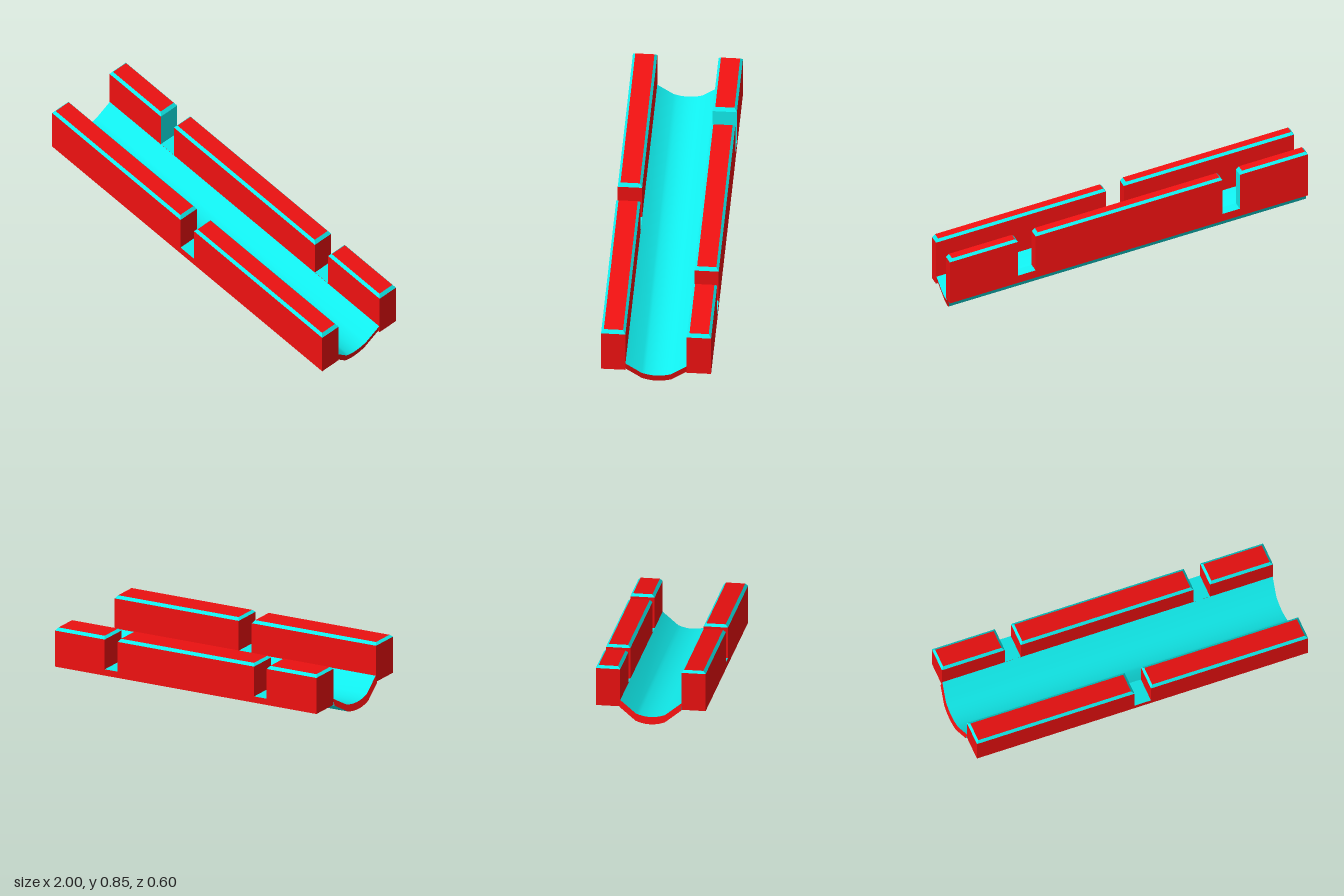
import * as THREE from 'three';
import { toCreasedNormals } from 'three/addons/utils/BufferGeometryUtils.js';

const SLOPE = Math.PI / 12;
const TAN = Math.tan(SLOPE);
const BASE = 0.353, FLOOR = 0.393, SHOULDER = 0.582, TOP = 0.598; // heights at x = 0
const INNER = 0.167, OUTER = 0.3;

const red = new THREE.MeshStandardMaterial({ color: 0xee1111 });
const cyan = new THREE.MeshStandardMaterial({ color: 0x11eeee });

// Box with vertical ends whose top and bottom follow the slope; the top may taper in
function slopedBox(name, x0, x1, y0, y1, side, materials, inset = 0) {
  const w = x1 - x0, d = OUTER - INNER;
  const geo = new THREE.BoxGeometry(w, y1 - y0, d);
  const p = geo.attributes.position;
  for (let i = 0; i < p.count; i++) {
    const t = p.getY(i) > 0 ? inset : 0;
    const x = (x0 + x1) / 2 + p.getX(i) * (1 - 2 * t / w);
    const z = side * (INNER + OUTER) / 2 + p.getZ(i) * (1 - 2 * t / d);
    p.setXYZ(i, x, (y0 + y1) / 2 + p.getY(i) - TAN * x, z);
  }
  geo.computeVertexNormals();
  const mesh = new THREE.Mesh(geo, materials);
  mesh.name = name;
  return mesh;
}

// Side wall: a continuous base strip carrying blocks separated by notches
function wall(name, side, blocks) {
  const group = new THREE.Group();
  group.name = name;
  group.add(slopedBox('wallBase', -0.97, 1, BASE, FLOOR, side, [red, red, cyan, cyan, red, red]));
  for (const [x0, x1, endMaterial = red] of blocks) {
    group.add(slopedBox('wallBlock', x0, x1, FLOOR, SHOULDER, side, [endMaterial, red, red, red, red, red]));
    group.add(slopedBox('bevelledCap', x0, x1, SHOULDER, TOP, side, [cyan, cyan, red, red, cyan, cyan], 0.014));
  }
  return group;
}

// Rounded trough swept along the slope, with square-cut ends
function channel() {
  const half = [[0, 0], [0.02, 0.001], [0.04, 0.004], [0.06, 0.009], [0.08, 0.016], [INNER, 0.086]];
  const lower = [...half.slice(1).reverse().map(([z, v]) => [-z, v]), ...half];
  const upper = lower.map(([z, v]) => [z, v + 0.041]).reverse();
  const shape = new THREE.Shape([...lower, ...upper].map(([z, v]) => new THREE.Vector2(z, v)));
  const geo = new THREE.ExtrudeGeometry(shape, { depth: 2.034, bevelEnabled: false });
  const c = Math.cos(SLOPE), s = Math.sin(SLOPE);
  geo.applyMatrix4(new THREE.Matrix4().makeBasis(
    new THREE.Vector3(0, 0, -1), new THREE.Vector3(s, c, 0), new THREE.Vector3(c, -s, 0)
  ).setPosition(-1, 0.528, 0));
  const mesh = new THREE.Mesh(toCreasedNormals(geo, 0.6), [red, cyan]);
  mesh.name = 'channel';
  return mesh;
}

export function createModel() {
  const model = new THREE.Group();
  model.name = 'slopedTrough';
  model.add(channel());
  model.add(wall('frontWall', 1, [[-0.97, -0.033], [0.065, 1]]));
  model.add(wall('backWall', -1, [[-0.97, -0.595, cyan], [-0.5, 0.528], [0.625, 1]]));
  return model;
}
